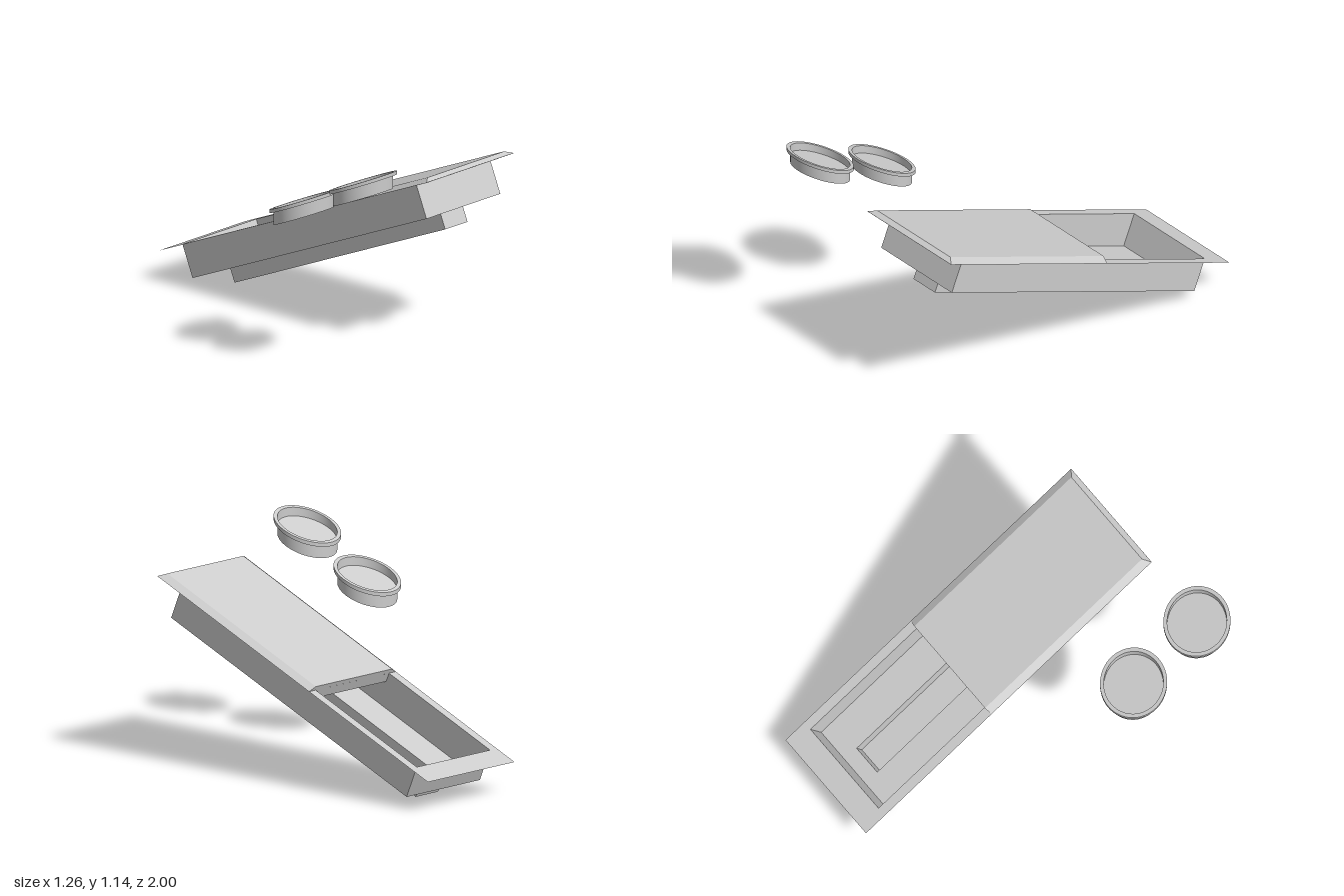
import * as THREE from 'three';
import { toCreasedNormals } from 'three/addons/utils/BufferGeometryUtils.js';

const TILT = Math.atan(0.4245);
const material = new THREE.MeshStandardMaterial({ color: 0xcccccc, side: THREE.DoubleSide });

function addMesh(parent, name, geometry) {
  const mesh = new THREE.Mesh(geometry, material);
  mesh.name = name;
  parent.add(mesh);
  return mesh;
}

// Thin rectangle [x0, x1, z0, z1] at height y, with an optional rectangular hole
function panel(outer, y, hole) {
  const outline = (path, [x0, x1, z0, z1]) =>
    path.moveTo(x0, z0).lineTo(x1, z0).lineTo(x1, z1).lineTo(x0, z1).closePath();
  const shape = outline(new THREE.Shape(), outer);
  if (hole) shape.holes.push(outline(new THREE.Path(), hole));
  return new THREE.ShapeGeometry(shape).rotateX(Math.PI / 2).translate(0, y, 0);
}

// Box over a rectangle between two heights
function block([x0, x1, z0, z1], y0, y1) {
  return new THREE.BoxGeometry(x1 - x0, y1 - y0, z1 - z0)
    .translate((x0 + x1) / 2, (y0 + y1) / 2, (z0 + z1) / 2);
}

// The four side walls of a block, open above and below
function walls(rect, y0, y1) {
  const geometry = block(rect, y0, y1);
  const index = Array.from(geometry.index.array);
  geometry.setIndex([...index.slice(0, 12), ...index.slice(24)]);
  geometry.clearGroups();
  return geometry;
}

// Sliding lid: a slab whose top is drawn in at the sides and the front
function lidGeometry([x0, x1, z0, z1], y0, y1) {
  const geometry = block([x0, x1, z0, z1], y0, y1);
  const p = geometry.attributes.position;
  const midX = (x0 + x1) / 2, midY = (y0 + y1) / 2, midZ = (z0 + z1) / 2;
  for (let i = 0; i < p.count; i++) {
    if (p.getY(i) < midY) continue;
    p.setX(i, p.getX(i) - 0.04 * Math.sign(p.getX(i) - midX));
    if (p.getZ(i) > midZ) p.setZ(i, p.getZ(i) - 0.024);
  }
  geometry.computeVertexNormals();
  return geometry;
}

// Cup holder: slanted rim and floor, with a wall that drops straight down
function createCup() {
  const cup = new THREE.Group();
  const slant = new THREE.Matrix4().set(
    1, 0, 0, 0,
    0, 1, Math.sin(TILT), 0,
    0, 0, Math.cos(TILT), 0,
    0, 0, 0, 1);
  const profile = [[0.16, -0.09], [0.16, -0.02], [0.18, -0.02], [0.18, 0], [0.16, 0], [0.16, -0.02]]
    .map(([r, y]) => new THREE.Vector2(r, y));
  const shell = new THREE.LatheGeometry(profile, 64).applyMatrix4(slant);
  addMesh(cup, 'cupRimAndWall', toCreasedNormals(shell, 0.6));
  const floor = new THREE.CircleGeometry(0.16, 64).rotateX(-Math.PI / 2)
    .translate(0, -0.045, 0).applyMatrix4(slant);
  floor.computeVertexNormals();
  addMesh(cup, 'cupFloor', floor);
  return cup;
}

export function createModel() {
  const model = new THREE.Group();
  model.name = 'trayWithCupHolders';

  // Everything in the tray lies in one sloping frame
  const tray = new THREE.Group();
  tray.name = 'tray';
  tray.rotation.x = -TILT;
  model.add(tray);

  const flange = [-0.025, 0.628, -0.856, 1.186];
  const bin = [0.026, 0.578, -0.722, 1.056];
  const channel = [0.22, 0.387, -0.637, 0.964];
  const top = 0.543, binFloor = 0.362, channelFloor = 0.275;

  addMesh(tray, 'flange', panel(flange, top, bin));
  addMesh(tray, 'binWalls', walls(bin, binFloor, top));
  addMesh(tray, 'binFloor', panel(bin, binFloor, channel));
  addMesh(tray, 'channelWalls', walls(channel, channelFloor, binFloor));
  addMesh(tray, 'channelFloor', panel(channel, channelFloor));

  // Lid over the front half, with a lip hanging into the bin
  addMesh(tray, 'lid', lidGeometry([flange[0], flange[1], 0.04, flange[3]], top + 0.001, top + 0.024));
  addMesh(tray, 'lidLip', new THREE.PlaneGeometry(bin[1] - bin[0], 0.05)
    .translate((bin[0] + bin[1]) / 2, top - 0.025, 0.041));

  // Pair of cup holders beside the tray
  [[0.873, 0.415], [1.07, 0.832]].forEach(([y, z], i) => {
    const cup = createCup();
    cup.name = i ? 'frontCupHolder' : 'backCupHolder';
    cup.position.set(-0.45, y, z);
    model.add(cup);
  });

  return model;
}
